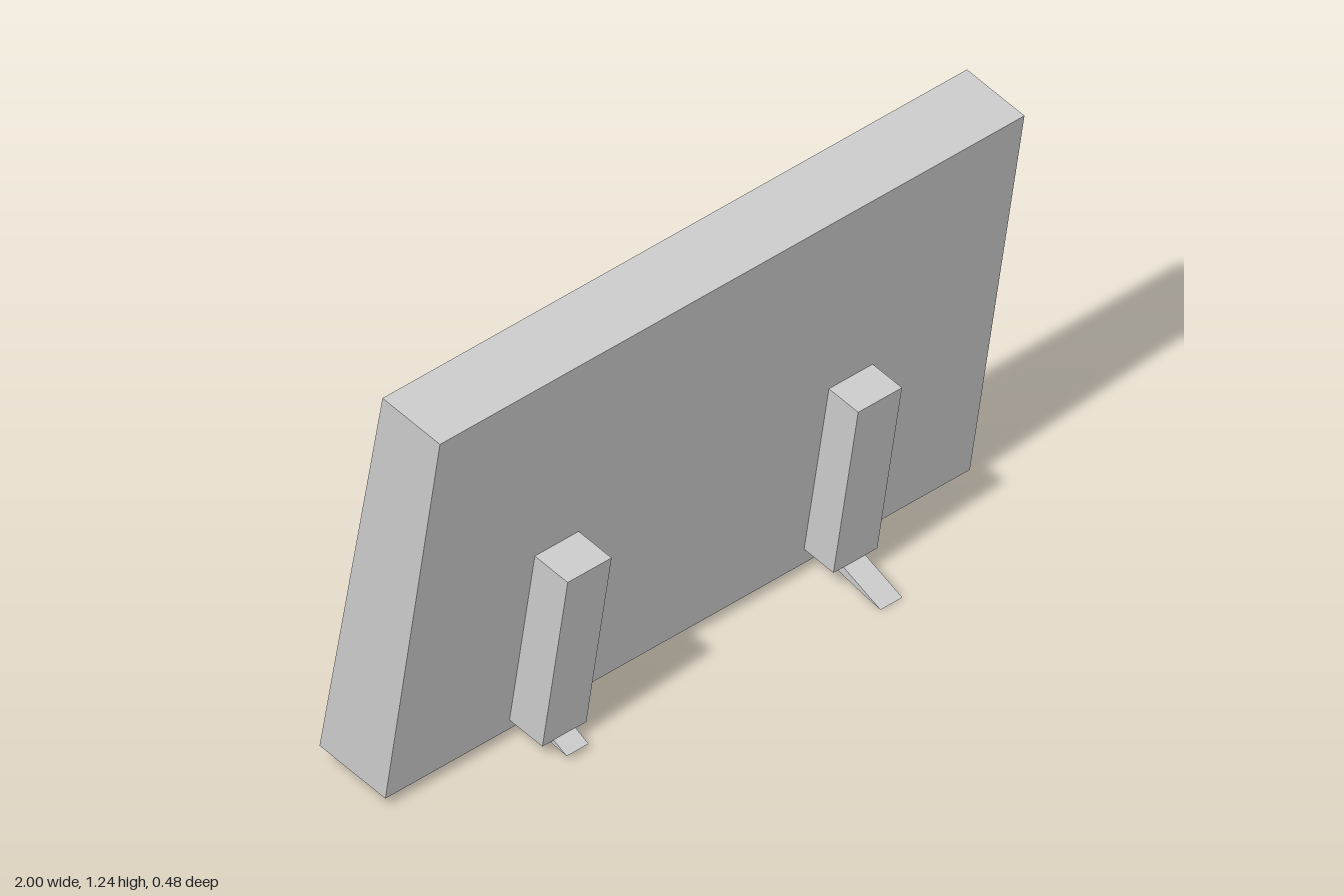
import * as THREE from 'three';

const TILT = 0.1635;
const material = (color) => new THREE.MeshStandardMaterial({ color, flatShading: true, side: THREE.DoubleSide });

// Flat polygon faces; corners are [x, height, depth behind the front panel]
function facesToGeometry(faces) {
  const p = [];
  const put = ([x, v, d]) => p.push(x, v, -d);
  for (const f of faces)
    for (let i = 1; i < f.length - 1; i++) [f[0], f[i], f[i + 1]].forEach(put);
  const g = new THREE.BufferGeometry();
  g.setAttribute('position', new THREE.Float32BufferAttribute(p, 3));
  g.computeVertexNormals();
  return g;
}

// Quads joining two loops of corners
const ring = (a, b) => a.map((_, i) => {
  const j = (i + 1) % a.length;
  return [a[i], a[j], b[j], b[i]];
});
const rect = (w, v0, v1, d0, d1) => [[-w, v0, d0], [-w, v1, d1], [w, v1, d1], [w, v0, d0]];
const mirror = (loop) => loop.map(([x, v, d]) => [-x, v, d]).reverse();

export function createModel() {
  const model = new THREE.Group();
  model.name = 'display';
  const grey = material(0xcccccc);
  const dark = material(0x404040);
  const padGrey = material(0x666666);

  // Everything but the feet leans with the housing
  const tilted = new THREE.Group();
  tilted.name = 'tiltedBody';
  tilted.position.set(0, 0.028, -0.005);
  tilted.rotation.x = TILT;
  model.add(tilted);
  const add = (parent, name, geometry, mat) => {
    const mesh = new THREE.Mesh(geometry, mat);
    mesh.name = name;
    parent.add(mesh);
    return mesh;
  };

  // Housing: tapered box with a bevelled frame around the screen well
  const H = 1.198, RIM = 0.271;
  const front = rect(1, 0, H, 0, 0);
  const back = rect(1, 0, H, 0.238, 0.208);
  const rim = rect(0.895, RIM, 1.11, 0.21, 0.21);
  const well = rect(0.895, RIM, 1.11, 0.165, 0.165);
  const bezel = (x, v) => [x, v, 0.238 - (0.028 / RIM) * v];
  const housing = [
    [...front].reverse(),
    ...ring(front, back),
    ...ring(back, rim).slice(0, 3),
    ...ring(rim, well),
    // lower bezel between and around the two notches
    [bezel(-0.3, 0), bezel(-0.335, 0.24), bezel(0.335, 0.24), bezel(0.3, 0)],
    [bezel(-0.575, 0.24), bezel(-0.895, RIM), bezel(0.895, RIM), bezel(0.575, 0.24)],
  ];
  const corner = [bezel(0.66, 0), bezel(0.575, 0.24), bezel(0.895, RIM), bezel(1, 0)];
  const notch = [bezel(0.3, 0), bezel(0.335, 0.24), bezel(0.575, 0.24), bezel(0.66, 0)];
  const notchBack = [[0.36, 0.015, 0.205], [0.335, 0.24, 0.208], [0.575, 0.24, 0.208], [0.632, 0.015, 0.205]];
  const padFace = [[0.364, 0.017, 0.231], [0.338, 0.236, 0.217], [0.568, 0.236, 0.217], [0.628, 0.017, 0.231]];

  for (const side of [1, -1]) {
    const m = side > 0 ? (loop) => loop : mirror;
    housing.push(m(corner), ...ring(m(notch), m(notchBack)), m(notchBack));
    // Dark pad seated in each notch
    add(tilted, side > 0 ? 'leftPad' : 'rightPad',
      facesToGeometry([...ring(m(notchBack), m(padFace)), m(padFace)]), padGrey);
  }
  add(tilted, 'housing', facesToGeometry(housing), grey);
  add(tilted, 'screen', facesToGeometry([well]), dark);

  // Upright stand blocks on the front panel, slightly different on each side
  const stands = [
    { name: 'left', x: 0.5, v0: 0.051, v1: 0.594, depth: 0.106, footX: 0.497,
      foot: [[0.24, 0], [0.11, 0.06], [0.0, 0.078], [0.04, 0.055], [0.17, 0.017]] },
    { name: 'right', x: -0.505, v0: 0.032, v1: 0.587, depth: 0.119, footX: -0.505,
      foot: [[0.165, 0.017], [0.118, 0.042], [0.0, 0.066], [0.03, 0.052], [0.1, 0.031]] },
  ];
  for (const s of stands) {
    const block = add(tilted, s.name + 'Stand', new THREE.BoxGeometry(0.15, s.v1 - s.v0, s.depth), grey);
    block.position.set(s.x, (s.v0 + s.v1) / 2, s.depth / 2);

    // Wedge foot reaching forward to the ground
    const shape = new THREE.Shape(s.foot.map(([z, y]) => new THREE.Vector2(z, y)));
    const geo = new THREE.ExtrudeGeometry(shape, { depth: 0.075, bevelEnabled: false });
    geo.translate(0, 0, -0.0375).rotateY(-Math.PI / 2);
    add(model, s.name + 'Foot', geo, grey).position.x = s.footX;
  }
  return model;
}
